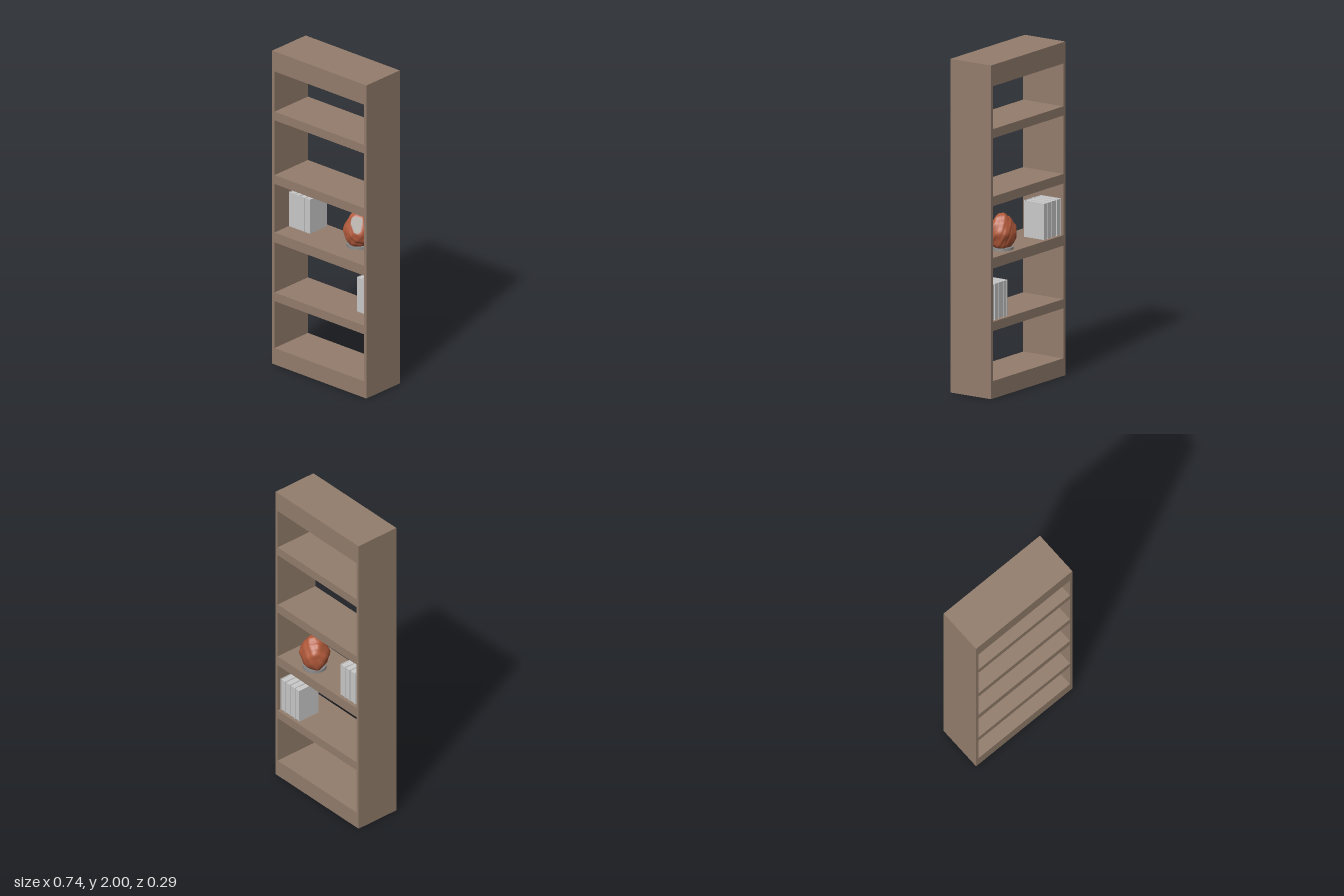
import * as THREE from 'three';
import { mergeVertices } from 'three/addons/utils/BufferGeometryUtils.js';

const mat = (name, color) => {
  const m = new THREE.MeshStandardMaterial({ color });
  m.name = name;
  return m;
};

export function createModel() {
  const wood = mat('wood', 0x937d6c);
  const paper = mat('book grey', 0xcacaca);
  const clay = mat('rock orange', 0xb0593a);
  const stone = mat('cut grey', 0x938a84);
  const metal = mat('base grey', 0x858585);

  const model = new THREE.Group();
  model.name = 'bookcase';
  const add = (parent, name, geometry, material, x = 0, y = 0, z = 0) => {
    const mesh = new THREE.Mesh(geometry, material);
    mesh.name = name;
    mesh.position.set(x, y, z);
    parent.add(mesh);
    return mesh;
  };

  // Open-backed case: sides, top, plinth and shelves
  const W = 0.74, D = 0.29, side = 0.018;
  const inner = W - 2 * side;
  const frame = new THREE.Group();
  frame.name = 'caseFrame';
  model.add(frame);
  for (const s of [-1, 1]) {
    add(frame, s > 0 ? 'leftSide' : 'rightSide', new THREE.BoxGeometry(side, 2, D), wood, s * (W - side) / 2, 1, 0);
  }
  const boards = [
    ['plinth', 0, 0.105], ['shelf1', 0.405, 0.46], ['shelf2', 0.78, 0.843],
    ['shelf3', 1.153, 1.21], ['shelf4', 1.56, 1.615], ['topBoard', 1.872, 2],
  ];
  for (const [name, y0, y1] of boards) {
    add(frame, name, new THREE.BoxGeometry(inner, y1 - y0, D), wood, 0, (y0 + y1) / 2, 0);
  }

  // Book: two covers and a spine around a slightly recessed page block
  const bookW = 0.0405, bookH = 0.218, bookD = 0.147, cover = 0.004;
  const makeBook = () => {
    const book = new THREE.Group();
    book.name = 'book';
    for (const s of [-1, 1]) {
      add(book, 'cover', new THREE.BoxGeometry(cover, bookH, bookD), paper, s * (bookW - cover) / 2, bookH / 2, 0);
    }
    add(book, 'spine', new THREE.BoxGeometry(bookW - 2 * cover, bookH, cover), paper, 0, bookH / 2, (bookD - cover) / 2);
    add(book, 'pages', new THREE.BoxGeometry(bookW - 2 * cover, bookH - 0.006, bookD - cover - 0.003), paper,
      0, bookH / 2, -cover / 2 + 0.0015);
    return book;
  };
  const addBooks = (name, x0, y) => {
    const row = new THREE.Group();
    row.name = name;
    for (let i = 0; i < 4; i++) {
      const book = makeBook();
      book.position.x = bookW / 2 + i * (bookW + 0.0015);
      row.add(book);
    }
    row.position.set(x0, y, -0.053);
    model.add(row);
  };
  addBooks('upperBooks', -0.352, 0.843);
  addBooks('lowerBooks', 0.182, 0.46);

  // Rough rock with one flat sliced face, on a round base
  const ornament = new THREE.Group();
  ornament.name = 'rockOrnament';
  ornament.position.set(0.132, 0.843, -0.05);
  model.add(ornament);
  add(ornament, 'base', new THREE.CylinderGeometry(0.068, 0.07, 0.014, 40), metal, 0, 0.007, 0);

  let rock = new THREE.IcosahedronGeometry(1, 14);
  rock.deleteAttribute('uv');
  rock.deleteAttribute('normal');
  rock = mergeVertices(rock, 1e-4);
  const p = rock.attributes.position;
  const v = new THREE.Vector3();
  const cutNormal = new THREE.Vector3(0.38, 0.5, 0.78).normalize();
  const cutDistance = 0.076;
  const isCut = [];
  for (let i = 0; i < p.count; i++) {
    v.fromBufferAttribute(p, i);
    const { x, y, z } = v;
    const lump = 1 + 0.045 * Math.sin(5 * x + 3 * y + 1) * Math.cos(4 * z - 2 * y)
      + 0.03 * Math.sin(9 * y + 6 * z) * Math.cos(8 * x + 2) + 0.012 * Math.sin(17 * x + 13 * z + 11 * y);
    // Narrow crown, full belly, flat bottom
    const taper = 1 - 0.16 * Math.max(0, y);
    v.set(x * 0.089 * lump * taper, y * 0.112 * lump, z * 0.084 * lump * taper);
    v.y = Math.max(v.y, -0.088);
    const over = v.dot(cutNormal) - cutDistance;
    isCut[i] = over > 0;
    if (over > 0) v.addScaledVector(cutNormal, -over);
    p.setXYZ(i, v.x, v.y, v.z);
  }
  rock.computeVertexNormals();

  // Split faces between the rough skin and the sliced face
  const skin = [], slice = [];
  for (let i = 0; i < rock.index.count; i += 3) {
    const tri = [0, 1, 2].map((k) => rock.index.getX(i + k));
    (tri.every((k) => isCut[k]) ? slice : skin).push(...tri);
  }
  rock.setIndex([...skin, ...slice]);
  rock.addGroup(0, skin.length, 0);
  rock.addGroup(skin.length, slice.length, 1);
  add(ornament, 'rock', rock, [clay, stone], 0, 0.102, 0);

  return model;
}
